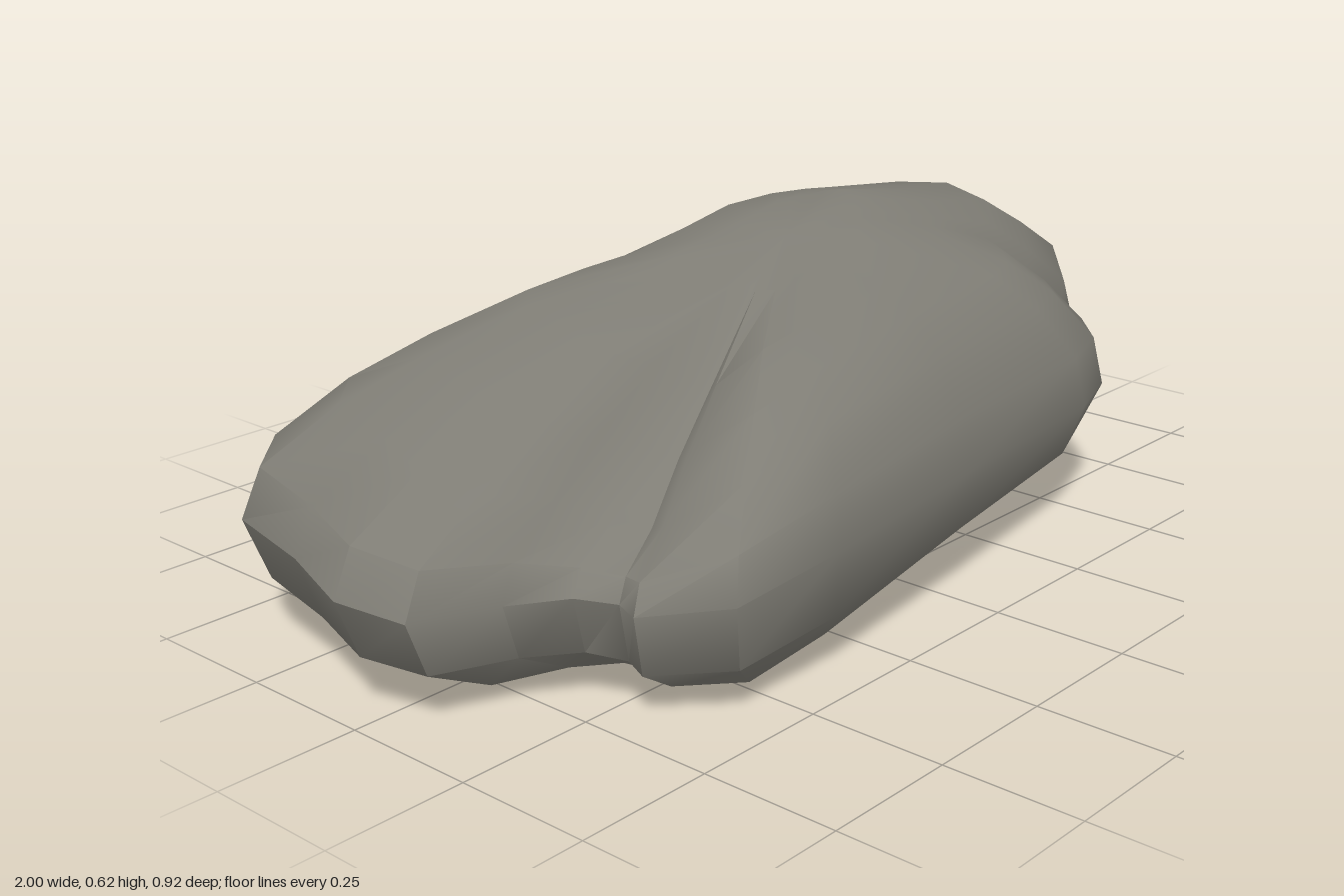
import * as THREE from 'three';
import { toCreasedNormals } from 'three/addons/utils/BufferGeometryUtils.js';

// One row per column of the boulder: rim x, rim z, rim y, shoulder y, crown y
const COLUMNS = [
  [1.00, -0.19, 0.32, 0.48, 0.57], [0.97, -0.03, 0.31, 0.46, 0.56], [0.82, 0.10, 0.28, 0.44, 0.55],
  [0.70, 0.17, 0.27, 0.43, 0.55], [0.66, 0.25, 0.25, 0.43, 0.54], [0.58, 0.33, 0.24, 0.43, 0.53],
  [0.44, 0.38, 0.24, 0.43, 0.53], [0.02, 0.42, 0.24, 0.43, 0.53], [-0.39, 0.46, 0.23, 0.41, 0.51],
  [-0.62, 0.45, 0.21, 0.36, 0.49], [-0.73, 0.34, 0.20, 0.29, 0.43], [-0.71, 0.29, 0.20, 0.27, 0.41],
  [-0.74, 0.22, 0.20, 0.28, 0.43], [-0.83, 0.16, 0.20, 0.32, 0.46], [-0.97, 0.10, 0.20, 0.35, 0.49],
  [-1.00, -0.03, 0.21, 0.37, 0.51], [-0.95, -0.19, 0.22, 0.38, 0.52], [-0.92, -0.37, 0.23, 0.40, 0.52],
  [-0.82, -0.46, 0.24, 0.41, 0.53], [-0.55, -0.46, 0.25, 0.43, 0.54], [-0.31, -0.43, 0.26, 0.45, 0.55],
  [-0.06, -0.43, 0.27, 0.47, 0.57], [0.20, -0.44, 0.28, 0.48, 0.59], [0.45, -0.44, 0.29, 0.49, 0.59],
  [0.60, -0.39, 0.30, 0.49, 0.59], [0.68, -0.34, 0.31, 0.49, 0.59], [0.87, -0.28, 0.32, 0.49, 0.58],
];
const CX = 0.05, CZ = -0.03;

// Underside: a tilted plane that levels out at the right-hand end
const baseY = (x, z) => Math.max(
  0,
  0.083 * (x + 0.55) - 0.082 * (z - 0.33),
  0.025 - 0.15 * Math.max(0, z - 0.13),
);

// Cross-section of one column, from the underside to the plateau
function section([x, z, rim, shoulder, crown]) {
  const dx = x - CX, dz = z - CZ;
  const at = (s, y) => [CX + dx * s, y, CZ + dz * s];
  const base = at(0.74 - 0.08 * dx, 0);
  base[1] = baseY(base[0], base[2]);
  const bulge = 0.012 + 0.012 * dx;
  return [
    base,
    at(0.96 - 0.07 * Math.max(0, dx), base[1] + (rim - base[1]) * 0.42),
    at(1, rim),
    at(0.965, rim + (shoulder - rim) * 0.5),
    at(0.83, shoulder),
    at(0.68, (shoulder + crown) / 2 + bulge),
    at(0.5, crown),
    at(0.22, 0.577 + 0.04 * dx - 0.05 * dz),
  ];
}

function geometryFrom(positions, index) {
  const g = new THREE.BufferGeometry();
  g.setAttribute('position', new THREE.Float32BufferAttribute(positions, 3));
  g.setIndex(index);
  return toCreasedNormals(g, 0.75);
}

export function createModel() {
  const stone = new THREE.MeshStandardMaterial({ color: 0x7f7d75 });
  stone.name = 'grey stone';
  const group = new THREE.Group();
  group.name = 'boulder';

  const sections = COLUMNS.map(section);
  const n = sections.length, rings = sections[0].length;

  // Rounded sides and crown, closed by the plateau
  const body = [], index = [];
  sections.forEach((s) => s.forEach((p) => body.push(...p)));
  body.push(CX, 0.575, CZ);
  for (let i = 0; i < n; i++) {
    const a = i * rings, b = ((i + 1) % n) * rings;
    for (let r = 0; r < rings - 1; r++) {
      index.push(a + r, a + r + 1, b + r, b + r, a + r + 1, b + r + 1);
    }
    index.push(a + rings - 1, n * rings, b + rings - 1);
  }
  const rock = new THREE.Mesh(geometryFrom(body, index), stone);
  rock.name = 'rockBody';

  // Flat underside
  const floor = [], fan = [];
  sections.forEach((s) => floor.push(...s[0]));
  floor.push(CX, baseY(CX, CZ), CZ);
  for (let i = 0; i < n; i++) fan.push(n, i, (i + 1) % n);
  const underside = new THREE.Mesh(geometryFrom(floor, fan), stone);
  underside.name = 'flatUnderside';

  group.add(rock, underside);
  return group;
}
